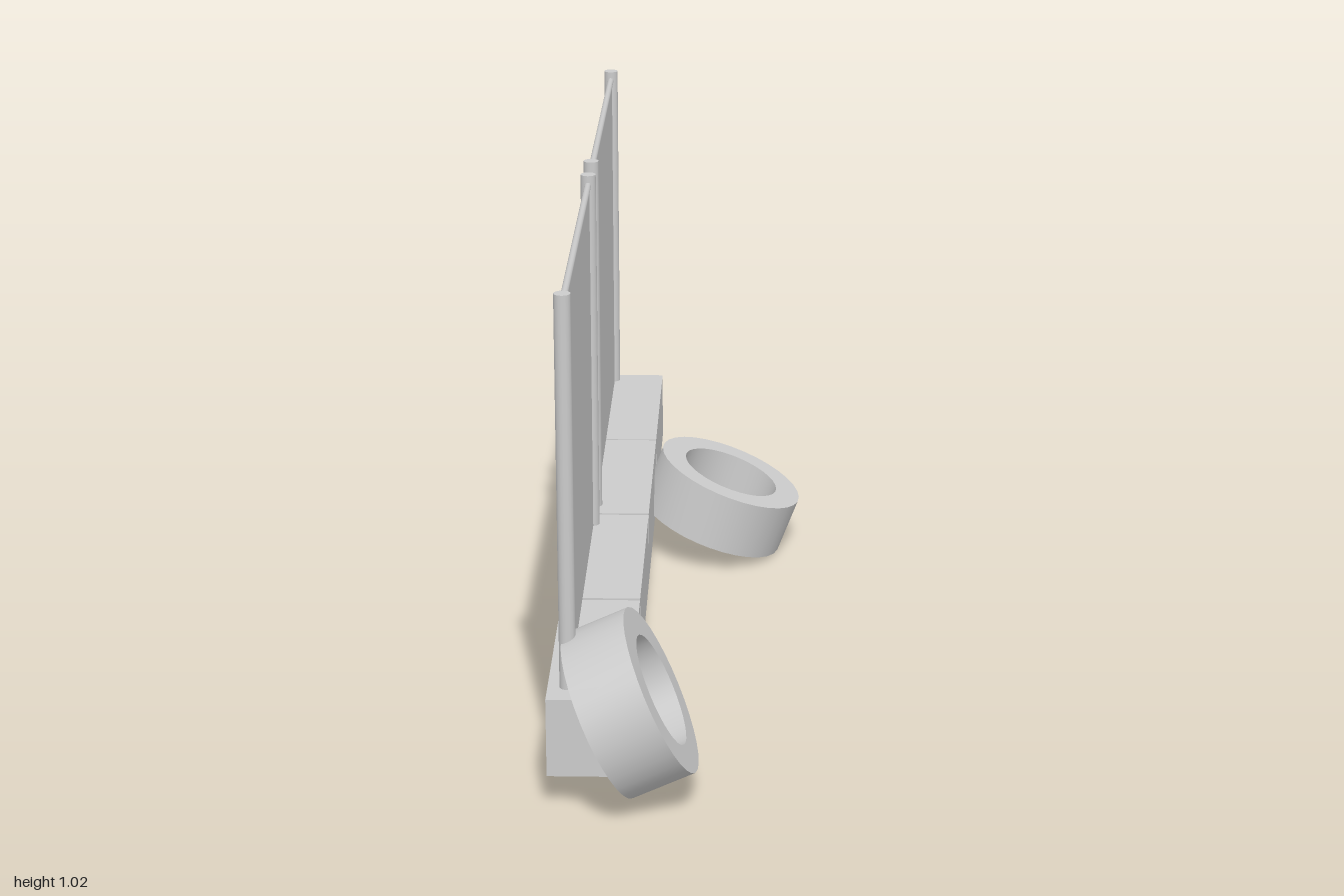
import * as THREE from 'three';
import { toCreasedNormals } from 'three/addons/utils/BufferGeometryUtils.js';

const material = new THREE.MeshStandardMaterial({ color: 0xcccccc });
const FENCE_X = -0.211;

function addMesh(parent, name, geometry, x, y, z) {
  const mesh = new THREE.Mesh(geometry, material);
  mesh.name = name;
  mesh.position.set(x, y, z);
  parent.add(mesh);
  return mesh;
}

// Round bar running along z
function addRail(parent, name, radius, z0, z1, y) {
  const geometry = new THREE.CylinderGeometry(radius, radius, z1 - z0, 12);
  geometry.rotateX(Math.PI / 2);
  addMesh(parent, name, geometry, FENCE_X, y, (z0 + z1) / 2);
}

// Thick hollow ring with a straight bore, axis along y
function ringGeometry(outer, inner, width) {
  const h = width / 2;
  const profile = [[outer, -h], [outer, h], [inner, h], [inner, -h], [outer, -h]]
    .map(([r, y]) => new THREE.Vector2(r, y));
  return toCreasedNormals(new THREE.LatheGeometry(profile, 32), Math.PI / 5);
}

export function createModel() {
  const model = new THREE.Group();
  model.name = 'fenceBarrier';

  // Row of base blocks with narrow joints
  const base = new THREE.Group();
  base.name = 'base';
  model.add(base);
  for (const [z0, z1] of [[-1, -0.534], [-0.529, -0.063], [-0.055, 0.406], [0.415, 0.89]]) {
    addMesh(base, 'baseBlock', new THREE.BoxGeometry(0.16, 0.16, z1 - z0), -0.17, 0.16, (z0 + z1) / 2);
  }

  // Two fence bays: posts, thin panel and top rail
  for (const [z0, z1] of [[-0.965, -0.115], [-0.004, 0.83]]) {
    const bay = new THREE.Group();
    bay.name = 'fenceBay';
    model.add(bay);
    for (const z of [z0, z1]) {
      addMesh(bay, 'post', new THREE.CylinderGeometry(0.016, 0.016, 0.79, 16), FENCE_X, 0.63, z);
    }
    addMesh(bay, 'panel', new THREE.BoxGeometry(0.006, 0.77, z1 - z0), FENCE_X, 0.62, (z0 + z1) / 2);
    addRail(bay, 'topRail', 0.007, z0, z1, 1.004);
  }

  // Short links joining the two bays
  for (const y of [0.28, 0.62, 0.96]) addRail(model, 'link', 0.008, -0.115, -0.004, y);

  // Two tyres leaning against the base
  const tyre = ringGeometry(0.17, 0.113, 0.131);
  addMesh(model, 'uprightTyre', tyre, -0.092, 0.208, 0.83).rotation.z = THREE.MathUtils.degToRad(-65.2);
  addMesh(model, 'lyingTyre', tyre, 0.064, 0.125, -0.465).rotation.z = THREE.MathUtils.degToRad(-20.8);

  return model;
}
